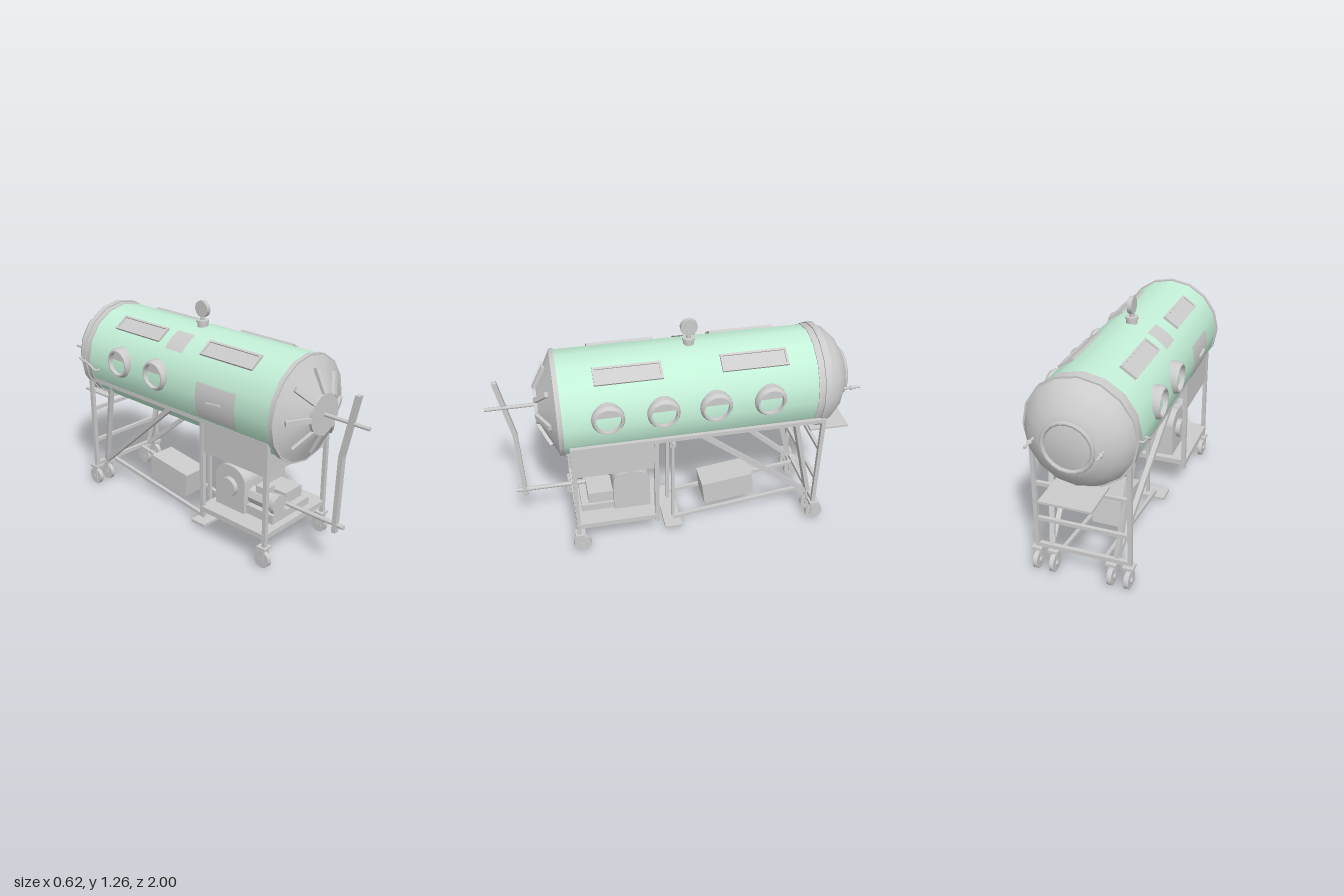
import * as THREE from 'three';
import { toCreasedNormals } from 'three/addons/utils/BufferGeometryUtils.js';

const CY = 0.845; // height of the tank axis
const FX = 0.012; // sideways centre of the stand

export function createModel() {
  const root = new THREE.Group();
  root.name = 'tankMachine';
  const grey = new THREE.MeshStandardMaterial({ color: 0xcccccc, side: THREE.DoubleSide });
  const green = new THREE.MeshStandardMaterial({ color: 0xc4f0d8 });

  const add = (name, geo, x = 0, y = 0, z = 0, parent = root, mat = grey) => {
    const m = new THREE.Mesh(geo, mat);
    m.name = name;
    m.position.set(x, y, z);
    parent.add(m);
    return m;
  };
  const box = (name, w, h, d, x, y, z, parent) => add(name, new THREE.BoxGeometry(w, h, d), x, y, z, parent);
  // Box given by its limits on each axis
  const block = (name, x0, x1, y0, y1, z0, z1) =>
    box(name, x1 - x0, y1 - y0, z1 - z0, (x0 + x1) / 2, (y0 + y1) / 2, (z0 + z1) / 2);
  // Square or round bar between two points
  const bar = (name, a, b, t, round = false) => {
    const p = new THREE.Vector3(...a), q = new THREE.Vector3(...b), len = p.distanceTo(q);
    const geo = round ? new THREE.CylinderGeometry(t / 2, t / 2, len, 10).rotateX(Math.PI / 2)
      : new THREE.BoxGeometry(t, t, len);
    const m = add(name, geo, ...p.clone().add(q).multiplyScalar(0.5).toArray());
    m.lookAt(q);
    return m;
  };
  // Turned part along z on the tank axis, profile of [radius, z] with z rising
  const turned = (name, pts, mat = grey) => add(name, toCreasedNormals(
    new THREE.LatheGeometry(pts.map(p => new THREE.Vector2(...p)), 16).rotateX(Math.PI / 2), 0.5), 0, CY, 0, root, mat);

  // Tank shell and its ends
  turned('tankShell', [[0.28, -0.74], [0.28, 0.625]], green);
  turned('frontRim', [[0.278, 0.615], [0.287, 0.615], [0.287, 0.64], [0.278, 0.64]]);
  turned('frontCone', [[0.278, 0.64], [0.11, 0.725], [0.11, 0.742], [0, 0.742]]);
  turned('rearCollar', [[0.275, -0.80], [0.291, -0.80], [0.291, -0.765], [0.284, -0.765], [0.284, -0.73], [0.275, -0.73]]);
  turned('rearDome', [[0, -0.935], [0.135, -0.935], [0.165, -0.92], [0.215, -0.89], [0.255, -0.85], [0.284, -0.795]]);
  add('rearPortRing', new THREE.TorusGeometry(0.125, 0.012, 6, 20), 0, CY, -0.94);
  for (const x of [-0.165, 0.18]) {
    bar('rearHandle', [x, CY, -0.89], [x, CY, -1], 0.014, true);
    add('rearHandleKnob', new THREE.SphereGeometry(0.013, 8, 6), x, CY, -0.95);
  }

  // Radial ribs on the front cone
  for (let i = 0; i < 8; i++) {
    const a = i * Math.PI / 4, c = Math.cos(a), s = Math.sin(a);
    const rib = new THREE.Group();
    rib.name = 'coneRib';
    rib.position.set(0.165 * c, CY + 0.165 * s, 0.705);
    rib.rotation.z = a;
    root.add(rib);
    box('ribBar', 0.135, 0.026, 0.02, 0, 0, 0, rib).rotation.y = 0.47;
  }

  // Portholes, four on one side and two on the other
  const portProfile = [[0, 0.018], [0.066, 0.018], [0.066, 0.05], [0.074, 0.05], [0.086, 0.03], [0.086, -0.02]];
  const portGeo = toCreasedNormals(new THREE.LatheGeometry(portProfile.map(p => new THREE.Vector2(...p)), 20)
    .rotateZ(-Math.PI / 2), 0.5);
  const porthole = (side, z) => {
    const p = add('porthole', portGeo, side * 0.252, 0.89, z);
    if (side < 0) p.rotation.y = Math.PI;
  };
  [0.385, 0.1, -0.175, -0.465].forEach(z => porthole(1, z));
  [-0.175, -0.465].forEach(z => porthole(-1, z));

  // Framed windows on the upper slopes
  const frame = new THREE.Shape([[-0.049, -0.177], [0.049, -0.177], [0.049, 0.177], [-0.049, 0.177]].map(p => new THREE.Vector2(...p)));
  frame.holes.push(new THREE.Path([[-0.037, -0.165], [-0.037, 0.165], [0.037, 0.165], [0.037, -0.165]].map(p => new THREE.Vector2(...p))));
  const frameGeo = new THREE.ExtrudeGeometry(frame, { depth: 0.035, bevelEnabled: false }).rotateX(-Math.PI / 2);
  for (const side of [-1, 1]) for (const z of [-0.4, 0.262]) {
    const w = new THREE.Group();
    w.name = 'topWindow';
    w.position.set(0, CY, z);
    w.rotation.z = -side * 0.6;
    add('windowFrame', frameGeo, 0, 0.253, 0, w);
    box('windowPane', 0.08, 0.02, 0.335, 0, 0.271, 0, w);
    root.add(w);
  }

  // Curved plates on the shell
  const plate = (name, deg0, deg1, z0, z1) => add(name, new THREE.CylinderGeometry(0.284, 0.284, z1 - z0, 6, 1, true,
    THREE.MathUtils.degToRad(deg0), THREE.MathUtils.degToRad(deg1 - deg0)).rotateX(Math.PI / 2), 0, CY, (z0 + z1) / 2);
  plate('sideHatch', 252, 292, 0.13, 0.4);
  plate('topPlate', 203, 229, -0.16, -0.03);
  bar('hatchHandle', [-0.293, 0.84, 0.22], [-0.293, 0.85, 0.31], 0.012);

  // Latch beside the rear collar
  add('collarLatch', new THREE.TubeGeometry(new THREE.CatmullRomCurve3([[-0.28, 0.85, -0.79], [-0.305, 0.85, -0.79],
    [-0.302, 0.83, -0.72], [-0.298, 0.8, -0.66], [-0.265, 0.8, -0.66]].map(p => new THREE.Vector3(...p))), 16, 0.007, 6));

  // Gauge on top
  add('gaugeBase', new THREE.CylinderGeometry(0.03, 0.03, 0.05, 12), 0, 1.13, -0.085);
  add('gaugeCap', new THREE.CylinderGeometry(0.035, 0.035, 0.012, 12), 0, 1.151, -0.085);
  add('gaugeNeck', new THREE.CylinderGeometry(0.013, 0.013, 0.04, 8), 0, 1.165, -0.085);
  add('gaugeDial', new THREE.CylinderGeometry(0.046, 0.046, 0.025, 12).rotateZ(Math.PI / 2), 0, 1.218, -0.085);

  // Push rod, bent lever and crank rod
  bar('pushRod', [0, CY, 0.73], [0, CY, 1], 0.02, true);
  const lever = [[0.92, 1], [0.85, 0.66], [0.838, 0.23], [0.862, 0.23], [0.876, 0.66], [0.946, 1]];
  add('lever', new THREE.ExtrudeGeometry(new THREE.Shape(lever.map(p => new THREE.Vector2(-p[0], p[1]))),
    { depth: 0.03, bevelEnabled: false }).rotateY(Math.PI / 2), -0.025, 0, 0);
  bar('crankRod', [-0.005, 0.272, 0.9], [-0.005, 0.272, 0.36], 0.024, true);

  // Stand: rails, posts, struts, skirt panels
  for (const s of [-1, 1]) {
    const x = FX + s * 0.25;
    bar('topRail', [x, 0.71, 0.59], [x, 0.71, -0.79], 0.022);
    bar('frontPost', [x, 0.12, 0.58], [x, 0.71, 0.58], 0.022);
    bar('middlePost', [x, 0.15, 0.14], [x, 0.71, 0.14], 0.024);
    bar('rearPost', [x, 0.12, -0.78], [x, 0.71, -0.78], 0.022);
    box('sidePanel', 0.01, 0.18, 0.43, x, 0.62, 0.36);
    bar('longStrut', [FX + s * 0.24, 0.71, -0.1], [FX + s * 0.175, 0.14, -0.77], 0.026);
    bar('shortStrut', [FX + s * 0.22, 0.71, -0.63], [FX + s * 0.175, 0.14, -0.77], 0.026);
    bar('lowerBeam', [FX + s * 0.115, 0.13, -0.77], [FX + s * 0.115, 0.03, 0.02], 0.02);
    bar('footPost', [FX + 0.01 + s * 0.08, 0.02, 0.02], [FX + 0.01 + s * 0.08, 0.6, 0.02], 0.018);
    box('footPostBracket', 0.026, 0.07, 0.034, FX + 0.01 + s * 0.08, 0.57, 0.02);
    bar('platformEdge', [x, 0.188, 0.14], [x, 0.188, 0.58], 0.03);
  }
  block('frontPanel', -0.235, 0.26, 0.53, 0.7, 0.565, 0.575);
  block('platform', -0.24, 0.262, 0.173, 0.203, 0.13, 0.59);
  bar('footCrossbar', [-0.11, 0.57, 0.02], [0.15, 0.57, 0.02], 0.022, true);
  for (const y of [0.51, 0.3]) bar('rearRung', [FX - 0.25, y, -0.78], [FX + 0.25, y, -0.78], 0.02);
  bar('rearFootBar', [FX - 0.25, 0.14, -0.78], [FX + 0.25, 0.14, -0.78], 0.022);
  block('footPlate', -0.17, 0.195, 0.004, 0.02, -0.02, 0.08);
  block('rearShelf', -0.13, 0.14, 0.549, 0.561, -0.99, -0.765);

  // Castors: two at the front, a pair under each rear corner
  const caster = (x, z) => {
    const c = new THREE.Group();
    c.name = 'caster';
    c.position.set(x, 0, z);
    add('wheel', toCreasedNormals(new THREE.CylinderGeometry(0.05, 0.05, 0.024, 12).rotateZ(Math.PI / 2), 0.6), 0, 0.05, -0.008, c);
    add('hub', new THREE.CylinderGeometry(0.018, 0.018, 0.048, 8).rotateZ(Math.PI / 2), 0, 0.05, -0.008, c);
    for (const s of [-1, 1]) box('fork', 0.006, 0.08, 0.034, s * 0.019, 0.078, 0, c);
    box('mountPlate', 0.056, 0.014, 0.056, 0, 0.123, 0, c);
    root.add(c);
  };
  for (const s of [-1, 1]) {
    caster(FX + s * 0.247, 0.575);
    caster(FX + s * 0.247, -0.785);
    caster(FX + s * 0.157, -0.785);
  }

  // Open-bottomed box resting on the lower beams
  const bin = new THREE.Group();
  bin.name = 'slungBox';
  bin.position.set(0.012, 0.155, -0.315);
  bin.rotation.x = 0.126;
  root.add(bin);
  box('binTop', 0.16, 0.008, 0.3, 0, 0.069, 0, bin);
  for (const s of [-1, 1]) {
    box('binSide', 0.008, 0.145, 0.3, s * 0.076, 0, 0, bin);
    box('binEnd', 0.16, 0.145, 0.008, 0, 0, s * 0.146, bin);
  }

  // Pump housing with arched top
  const arch = new THREE.Shape();
  arch.moveTo(-0.37, 0.2);
  arch.lineTo(-0.165, 0.2);
  arch.lineTo(-0.165, 0.385);
  arch.absellipse(-0.2675, 0.385, 0.1025, 0.075, 0, Math.PI);
  arch.lineTo(-0.37, 0.2);
  add('pumpHousing', toCreasedNormals(new THREE.ExtrudeGeometry(arch,
    { depth: 0.345, bevelEnabled: false, curveSegments: 8 }).rotateY(Math.PI / 2), 0.5), -0.16, 0, 0);
  add('pumpSideDisc', new THREE.CylinderGeometry(0.055, 0.055, 0.03, 12).rotateZ(Math.PI / 2), -0.172, 0.34, 0.27);

  // Electric motor, its base and the gear box
  add('motor', toCreasedNormals(new THREE.CylinderGeometry(0.05, 0.05, 0.17, 8).rotateX(Math.PI / 2), 0.4), -0.085, 0.3, 0.455);
  add('motorEnd', new THREE.CylinderGeometry(0.057, 0.057, 0.03, 8).rotateX(Math.PI / 2), -0.085, 0.3, 0.535);
  block('terminalBox', -0.12, -0.05, 0.34, 0.38, 0.415, 0.485);
  block('motorBase', -0.14, -0.03, 0.2, 0.255, 0.37, 0.55);
  block('gearBox', 0.015, 0.155, 0.2, 0.312, 0.37, 0.51);
  block('gearBoxStep', -0.03, 0.17, 0.2, 0.245, 0.37, 0.55);

  return root;
}
